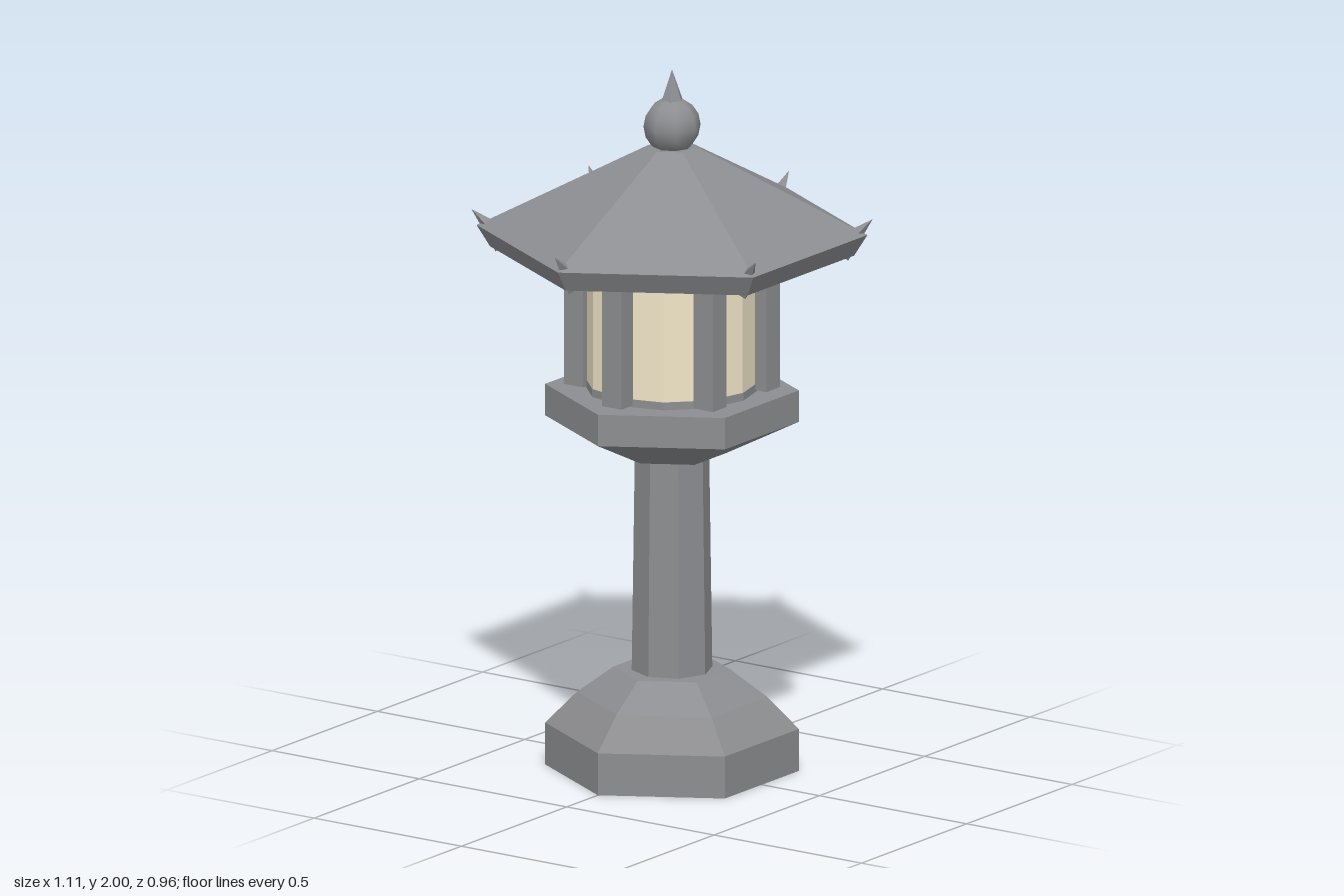
import * as THREE from 'three';

const stone = new THREE.MeshStandardMaterial({ color: 0x8d8e91, flatShading: true });
const smoothStone = new THREE.MeshStandardMaterial({ color: 0x8d8e91 });
const paper = new THREE.MeshStandardMaterial({ color: 0xf2e6c8, flatShading: true });

export function createModel() {
  const model = new THREE.Group();

  const add = (name, geometry, y = 0, material = stone, parent = model) => {
    const mesh = new THREE.Mesh(geometry, material);
    mesh.name = name;
    mesh.position.y = y;
    parent.add(mesh);
    return mesh;
  };

  // Six-sided solid from [radius, y] points, with corners on the x axis
  const hexTurned = (profile) => new THREE.LatheGeometry(
    profile.map(([r, y]) => new THREE.Vector2(r, y)), 6, Math.PI / 6);

  // Foot, shaft and platform
  add('base', hexTurned([[0, 0], [0.352, 0], [0.352, 0.12], [0.264, 0.21], [0.163, 0.285], [0, 0.285]]));
  add('shaft', new THREE.CylinderGeometry(0.104, 0.113, 0.64, 8), 0.595);
  add('platform', hexTurned([[0, 0.905], [0.15, 0.905], [0.352, 1], [0.352, 1.09], [0, 1.09]]));

  // Light chamber
  add('chamberFloor', new THREE.CylinderGeometry(0.242, 0.242, 0.022, 12), 1.101);
  add('lightPanels', new THREE.CylinderGeometry(0.24, 0.24, 0.38, 12), 1.3, paper);

  // Roof with a narrow eave band sloping inwards
  add('roof', hexTurned([[0, 1.48], [0.505, 1.48], [0.542, 1.54], [0.07, 1.78], [0, 1.78]]));

  // Posts and upturned roof horns, one at each corner
  const posts = new THREE.Group();
  posts.name = 'posts';
  const horns = new THREE.Group();
  horns.name = 'roofHorns';
  model.add(posts, horns);
  for (let i = 0; i < 6; i++) {
    const angle = (i * Math.PI) / 3;
    const post = add('post', new THREE.BoxGeometry(0.066, 0.395, 0.066), 1.2925, stone, posts);
    post.position.x = 0.254 * Math.cos(angle);
    post.position.z = 0.254 * Math.sin(angle);

    const corner = new THREE.Group();
    corner.name = 'roofCorner';
    corner.rotation.y = angle;
    horns.add(corner);
    const horn = add('horn', new THREE.ConeGeometry(0.04, 0.132, 4), 1.54, stone, corner);
    horn.position.x = 0.509;
    horn.rotation.z = -0.805;
  }

  // Finial
  add('finialBall', new THREE.SphereGeometry(0.08, 8, 8), 1.84, smoothStone);
  add('finialSpike', new THREE.ConeGeometry(0.04, 0.11, 6), 1.945);

  return model;
}
